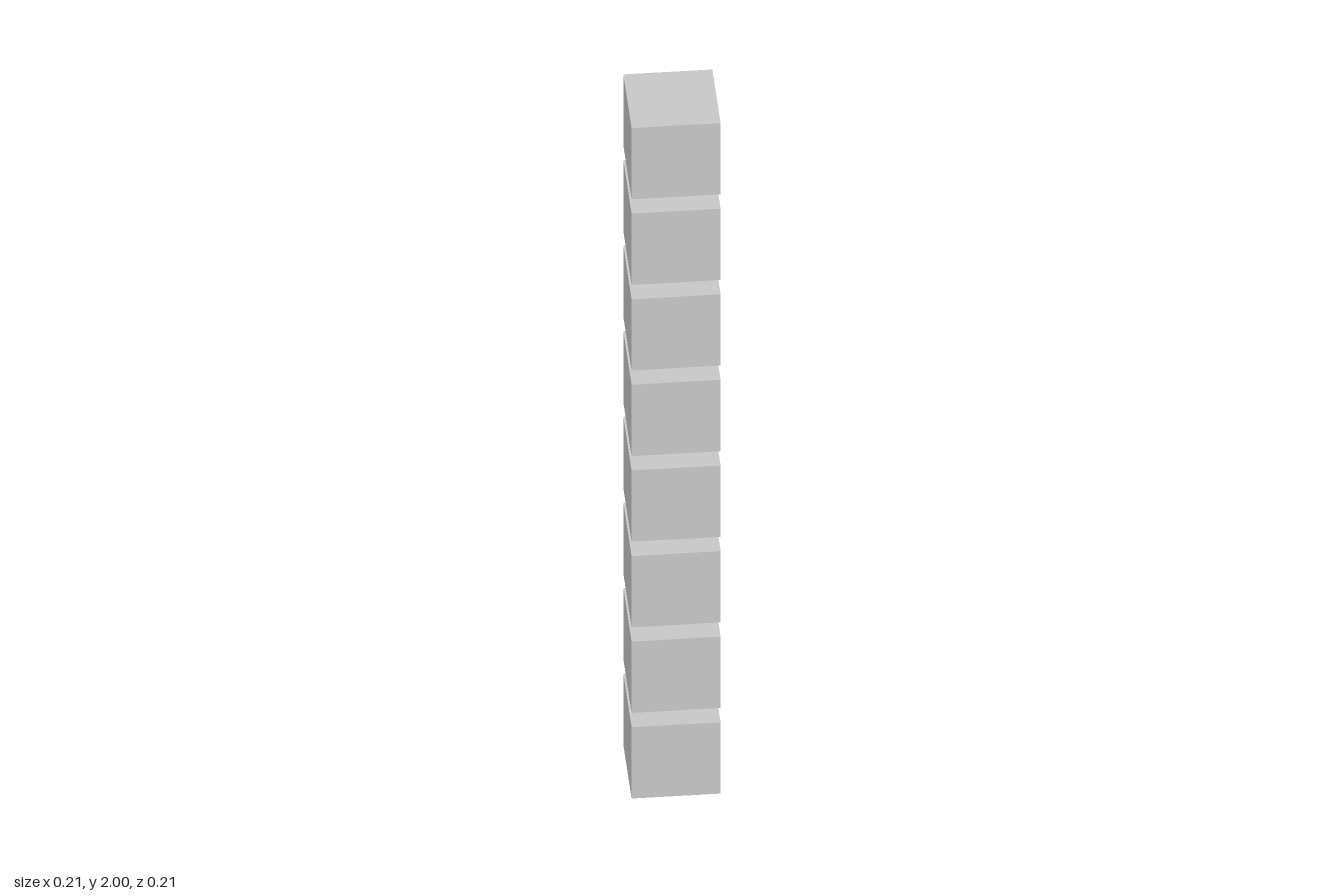
import * as THREE from 'three';

// A column of eight equal cubes separated by narrow gaps
const COUNT = 8;
const GAP_RATIO = 0.2; // gap as a fraction of the cube side
const HEIGHT = 2;

export function createModel() {
  const model = new THREE.Group();
  model.name = 'cubeColumn';

  const side = HEIGHT / (COUNT + (COUNT - 1) * GAP_RATIO);
  const pitch = side * (1 + GAP_RATIO);
  const geometry = new THREE.BoxGeometry(side, side, side);
  const material = new THREE.MeshStandardMaterial({ color: 0xcccccc, flatShading: true });

  // Cubes from the ground up
  for (let i = 0; i < COUNT; i++) {
    const cube = new THREE.Mesh(geometry, material);
    cube.name = `cube${i + 1}`;
    cube.position.y = side / 2 + i * pitch;
    model.add(cube);
  }
  return model;
}
